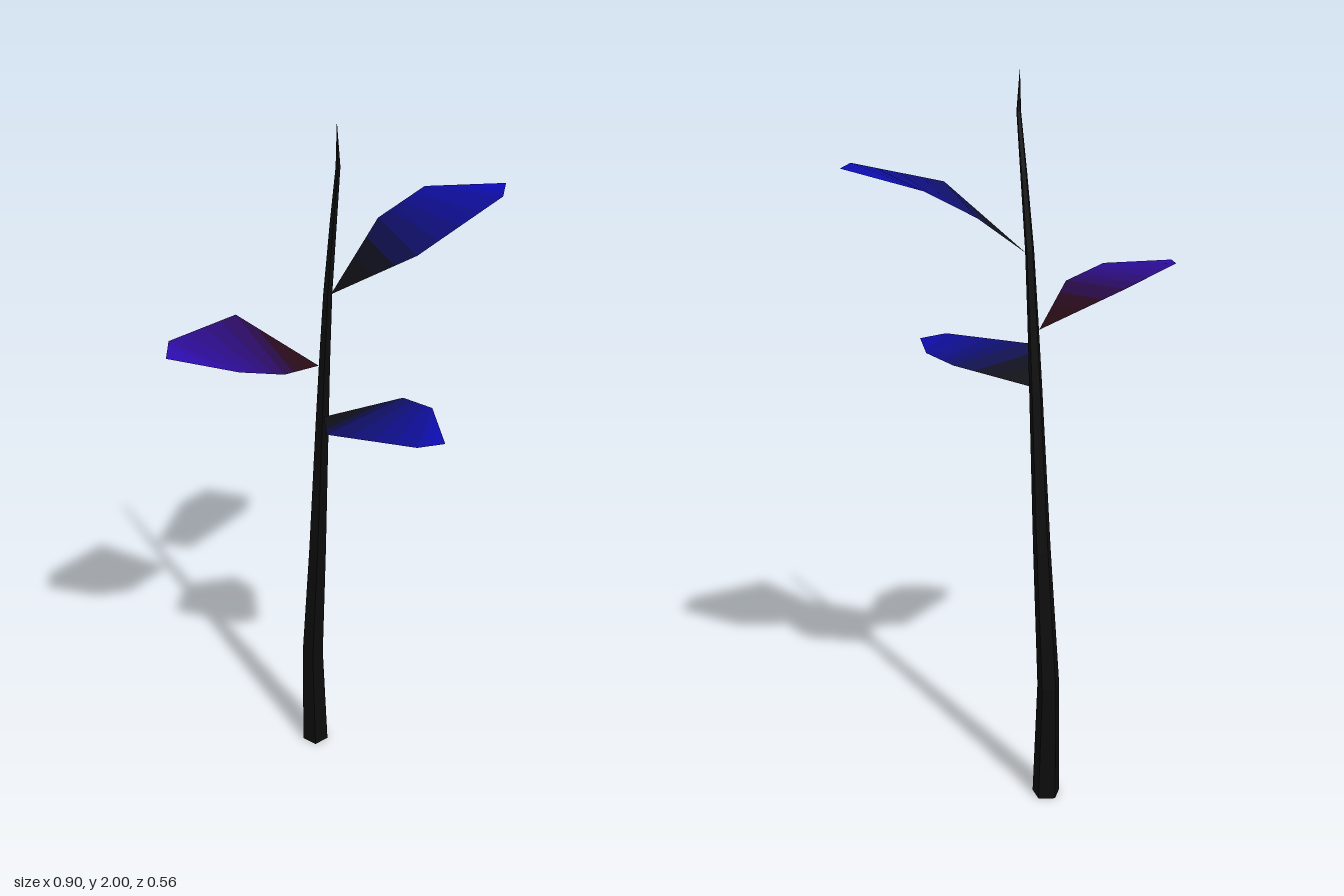
import * as THREE from 'three';

const v = (p) => new THREE.Vector3(...p);

function meshFrom(points, index, material, name) {
  const geometry = new THREE.BufferGeometry().setFromPoints(points);
  geometry.setIndex(index);
  geometry.computeVertexNormals();
  const mesh = new THREE.Mesh(geometry, material);
  mesh.name = name;
  return mesh;
}

// Five-sided tapering stem, lofted through [x, y, z, radius] sections
function createStem() {
  const sections = [
    [-0.018, 0, -0.172, 0.04],
    [-0.018, 0.35, -0.177, 0.032],
    [-0.017, 0.75, -0.144, 0.025],
    [-0.016, 1.2, -0.113, 0.018],
    [-0.013, 1.37, -0.104, 0.015],
    [-0.008, 1.56, -0.094, 0.012],
    [-0.003, 1.76, -0.074, 0.009],
    [0, 1.9, -0.058, 0.006],
    [0.002, 2, -0.064, 0.0005],
  ];
  const sides = 5;
  const points = [];
  const index = [];
  for (const [x, y, z, r] of sections) {
    for (let i = 0; i < sides; i++) {
      const a = (i / sides) * Math.PI * 2;
      points.push(new THREE.Vector3(x + r * Math.sin(a), y, z - r * Math.cos(a)));
    }
  }
  for (let s = 0; s < sections.length - 1; s++) {
    for (let i = 0; i < sides; i++) {
      const a = s * sides + i;
      const b = s * sides + ((i + 1) % sides);
      index.push(b, a, a + sides, b, a + sides, b + sides);
    }
  }
  for (let i = 1; i < sides - 1; i++) index.push(0, i, i + 1); // bottom cap
  const material = new THREE.MeshStandardMaterial({ color: 0x0c0c0c, flatShading: true });
  return meshFrom(points, index, material, 'stem');
}

// Point on a four-corner edge, t running from 0 (base) to 3 (tip)
function along(edge, t) {
  const i = Math.min(Math.floor(t), 2);
  return edge[i].clone().lerp(edge[i + 1], t - i);
}

// Six-cornered leaf between two edges, in cross bands that shade from base to tip
function createLeaf({ name, corners, baseColor, tipColor }) {
  const leaf = new THREE.Group();
  leaf.name = name;
  const [base, a1, a2, tip, b2, b1] = corners.map(v);
  const edgeA = [base, a1, a2, tip];
  const edgeB = [base, b1, b2, tip];
  const steps = 12;
  for (let s = 0; s < steps; s++) {
    const t0 = (s / steps) * 3;
    const t1 = ((s + 1) / steps) * 3;
    const blend = THREE.MathUtils.clamp(((t0 + t1) / 2 - 0.6) / 1.9, 0, 1);
    const color = new THREE.Color(baseColor).lerp(new THREE.Color(tipColor), blend);
    const material = new THREE.MeshStandardMaterial({ color, side: THREE.DoubleSide });
    const points = [along(edgeA, t0), along(edgeB, t0), along(edgeB, t1), along(edgeA, t1)];
    // The end bands close to a point
    const index = s === 0 ? [0, 2, 3] : s === steps - 1 ? [0, 1, 2] : [0, 1, 2, 0, 2, 3];
    leaf.add(meshFrom(points, index, material, 'leafBand'));
  }
  return leaf;
}

export function createModel() {
  const model = new THREE.Group();
  model.name = 'sapling';
  model.add(createStem());

  // Corners run from the base around the outline
  const leaves = [
    {
      name: 'upperLeaf', baseColor: 0x101014, tipColor: 0x0c0cb8,
      corners: [[0.003, 1.555, -0.095], [0.09, 1.715, 0.135], [0.38, 1.79, 0.115],
        [0.45, 1.79, 0.05], [0.342, 1.75, -0.14], [0.22, 1.68, -0.18]],
    },
    {
      name: 'middleLeaf', baseColor: 0x2a0c16, tipColor: 0x2c0cb0,
      corners: [[-0.028, 1.355, -0.11], [-0.165, 1.475, -0.284], [-0.403, 1.497, -0.22],
        [-0.45, 1.49, -0.155], [-0.33, 1.473, -0.016], [-0.213, 1.437, 0.003]],
    },
    {
      name: 'lowerLeaf', baseColor: 0x101018, tipColor: 0x0c0cb0,
      corners: [[-0.018, 1.2, -0.105], [-0.13, 1.264, 0.062], [0.002, 1.272, 0.26],
        [0.076, 1.266, 0.28], [0.16, 1.272, 0.13], [0.148, 1.26, 0.025]],
    },
  ];
  for (const leaf of leaves) model.add(createLeaf(leaf));
  return model;
}
